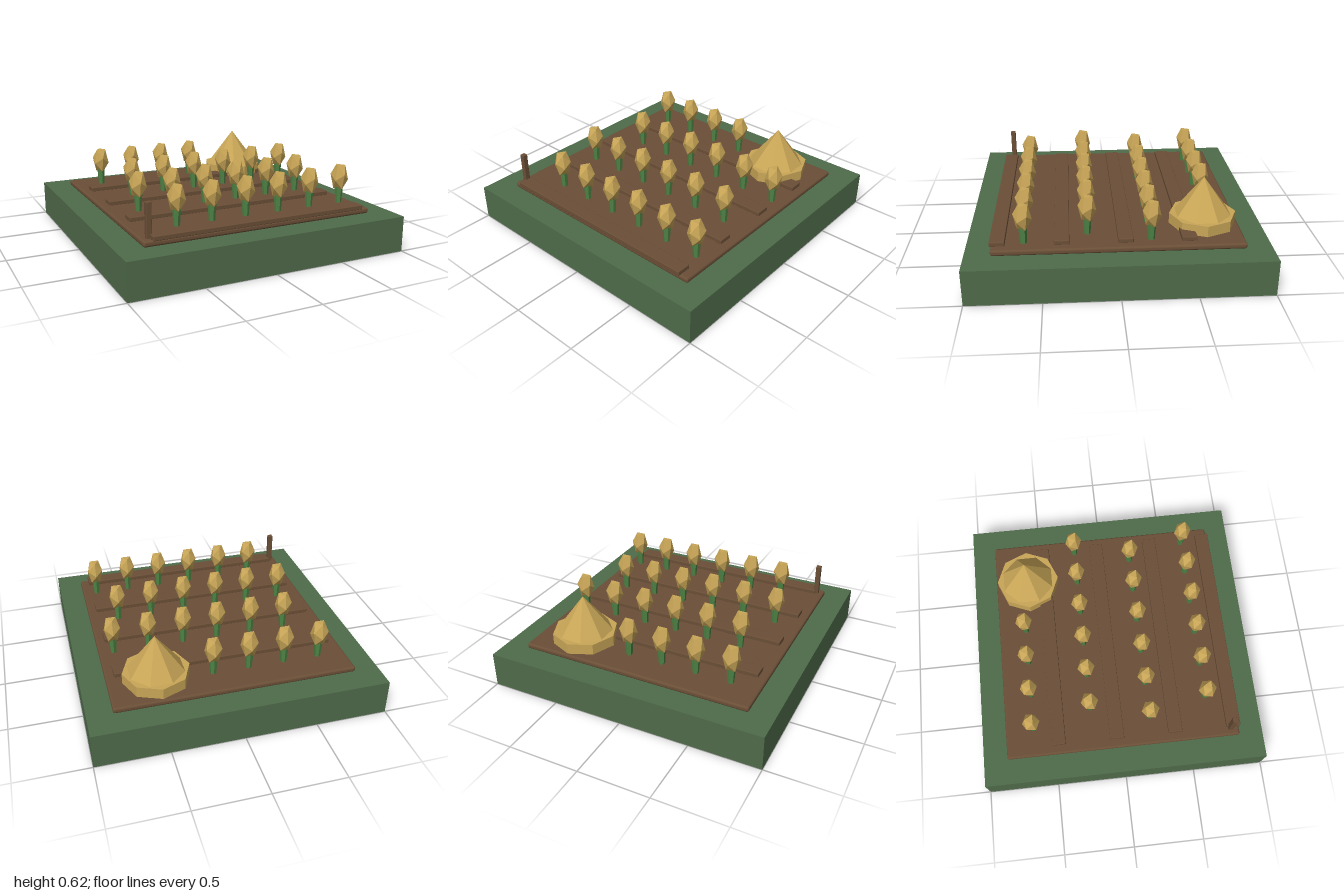
import * as THREE from 'three';
import { RoundedBoxGeometry } from 'three/addons/geometries/RoundedBoxGeometry.js';

const makeMaterial = (name, color) => {
  const m = new THREE.MeshStandardMaterial({ color });
  m.name = name;
  return m;
};

// Give a geometry faceted normals
const faceted = (geometry) => {
  const g = geometry.index ? geometry.toNonIndexed() : geometry;
  g.computeVertexNormals();
  return g;
};

// Icosahedron standing on one face, one top corner pointing back, stretched upwards
function cropHeadGeometry() {
  const g = new THREE.IcosahedronGeometry(1, 0);
  const q = new THREE.Quaternion().setFromUnitVectors(
    new THREE.Vector3(1, 1, 1).normalize(), new THREE.Vector3(0, 1, 0));
  const corner = new THREE.Vector3(1, (1 + Math.sqrt(5)) / 2, 0).applyQuaternion(q);
  g.applyQuaternion(q);
  g.rotateY(Math.PI - Math.atan2(corner.x, corner.z));
  g.scale(0.063, 0.106, 0.063);
  return faceted(g);
}

export function createModel() {
  const grass = makeMaterial('grass green', 0x4f6b4a);
  const soil = makeMaterial('soil brown', 0x6b4f37);
  const straw = makeMaterial('straw yellow', 0xc9a657);
  const stalk = makeMaterial('stalk green', 0x4f8446);

  const model = new THREE.Group();
  model.name = 'cropField';
  const add = (name, geometry, material, x, y, z, parent = model) => {
    const mesh = new THREE.Mesh(geometry, material);
    mesh.name = name;
    mesh.position.set(x, y, z);
    parent.add(mesh);
    return mesh;
  };

  // Ground tile and soil bed
  add('groundTile', new THREE.BoxGeometry(2, 0.25, 2), grass, 0, 0.125, 0);
  add('soilBed', new RoundedBoxGeometry(1.66, 0.04, 1.66, 2, 0.015), soil, 0, 0.27, 0);

  // Raised ridges between the rows
  const rowStep = 0.4167;
  const ridge = new RoundedBoxGeometry(1.54, 0.032, 0.1, 2, 0.005);
  for (let i = 0; i < 4; i++) {
    add('ridge', ridge, soil, 0, 0.303, -0.46 + i * rowStep);
  }

  // Corner post
  add('post', new RoundedBoxGeometry(0.036, 0.24, 0.036, 2, 0.004), soil, -0.775, 0.4, 0.77);

  // Staggered rows of crops; the haystack takes the end of the back row
  const stem = faceted(new THREE.CylinderGeometry(0.03, 0.021, 0.13, 6));
  const head = cropHeadGeometry();
  for (let row = 0; row < 4; row++) {
    const startX = row % 2 ? -0.525 : -0.63;
    const count = row === 0 ? 4 : 6;
    for (let i = 0; i < count; i++) {
      const crop = new THREE.Group();
      crop.name = 'crop';
      crop.position.set(startX + i * 0.25, 0, -0.63 + row * rowStep);
      add('stem', stem, stalk, 0, 0.35, 0, crop);
      add('head', head, straw, 0, 0.477, 0, crop);
      model.add(crop);
    }
  }

  // Haystack: octagonal base with a cone turned by half a side
  const haystack = new THREE.Group();
  haystack.name = 'haystack';
  haystack.position.set(0.5, 0, -0.585);
  add('haystackBase', faceted(new THREE.CylinderGeometry(0.228, 0.228, 0.08, 8)), straw, 0, 0.326, 0, haystack);
  const cone = add('haystackCone', faceted(new THREE.ConeGeometry(0.2, 0.265, 8)), straw, 0, 0.4925, 0, haystack);
  cone.rotation.y = Math.PI / 8;
  model.add(haystack);

  return model;
}
